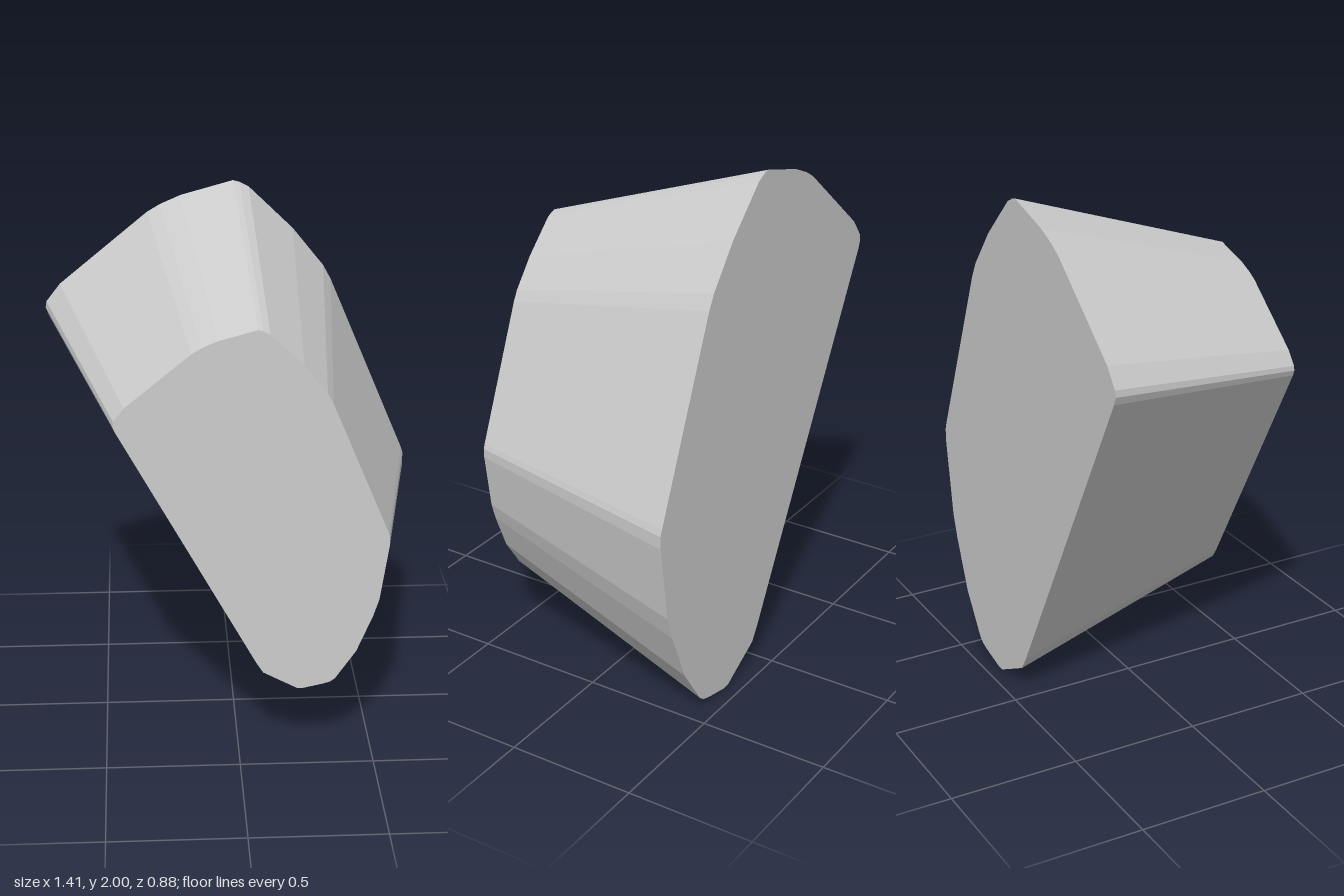
import * as THREE from 'three';

// Outline of the large back face
const outline = [
  [0.02, 2], [0.045, 1.993], [0.08, 1.975], [0.25, 1.81], [0.37, 1.66], [0.4, 1.605],
  [0.697, 0.895], [0.705, 0.87], [0.705, 0.82], [0.66, 0.515], [0.63, 0.42], [0.545, 0.215],
  [0.435, 0.055], [0.41, 0.037], [0.375, 0.026], [0.265, 0.002], [0.235, 0.003],
  [0.055, 0.1], [0.02, 0.155], [-0.697, 1.475], [-0.708, 1.505], [-0.704, 1.53],
  [-0.65, 1.6], [-0.31, 1.88], [-0.26, 1.91], [-0.18, 1.945],
];

const DEPTH = 0.885;
const FRONT_SCALE = 0.703;
const FRONT_X = 0.049;
const FRONT_Y = 0.287;

export function createModel() {
  const group = new THREE.Group();
  group.name = 'taperedBlock';
  const stone = new THREE.MeshStandardMaterial({ color: 0xcccccc, flatShading: true });
  stone.name = 'light grey';

  const shape = new THREE.Shape(outline.map(([x, y]) => new THREE.Vector2(x, y)));
  const geometry = new THREE.ExtrudeGeometry(shape, { depth: DEPTH, bevelEnabled: false });

  // Shrink the front end of the prism
  const p = geometry.attributes.position;
  for (let i = 0; i < p.count; i++) {
    const z = p.getZ(i);
    if (z > DEPTH / 2) {
      p.setXY(i, p.getX(i) * FRONT_SCALE + FRONT_X, p.getY(i) * FRONT_SCALE + FRONT_Y);
    }
    p.setZ(i, z - DEPTH / 2);
  }
  geometry.computeVertexNormals();

  const block = new THREE.Mesh(geometry, stone);
  block.name = 'block';
  group.add(block);
  return group;
}
